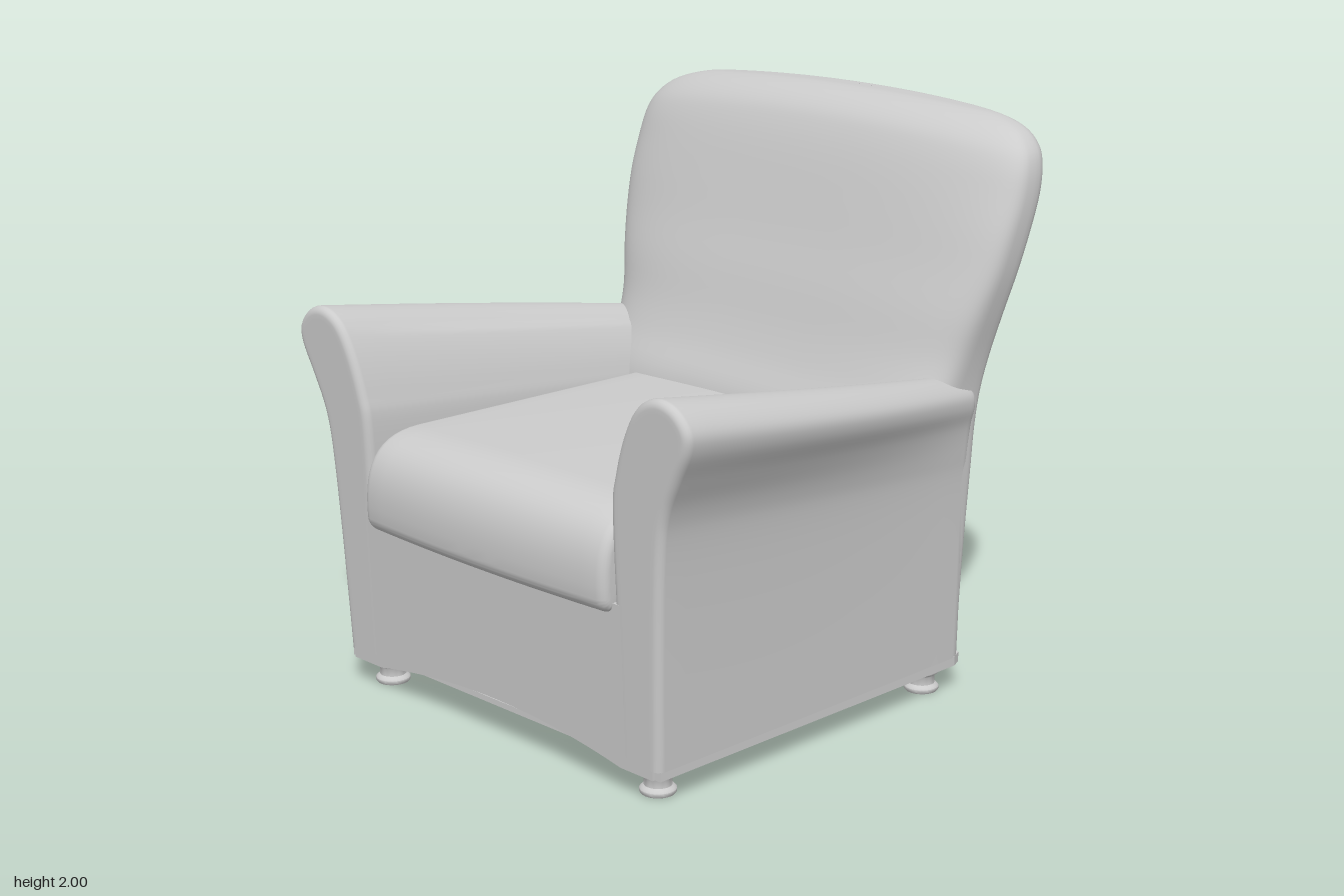
import * as THREE from 'three';
import { toCreasedNormals } from 'three/addons/utils/BufferGeometryUtils.js';

const material = new THREE.MeshStandardMaterial({ color: 0xcccccc, side: THREE.DoubleSide });
const lerp = THREE.MathUtils.lerp;

function mesh(geometry, name, parent) {
  const m = new THREE.Mesh(geometry, material);
  m.name = name;
  parent.add(m);
  return m;
}

// Skin over a list of rings, each a list of [x, y, z]
function loft(rings, closed, flip = false) {
  const n = rings[0].length, index = [];
  for (let i = 0; i < rings.length - 1; i++) {
    for (let j = 0; j < (closed ? n : n - 1); j++) {
      const k = (j + 1) % n;
      const a = i * n + j, b = i * n + k, c = a + n, d = b + n;
      if (flip) index.push(a, c, b, b, c, d);
      else index.push(a, b, c, b, d, c);
    }
  }
  const g = new THREE.BufferGeometry();
  g.setAttribute('position', new THREE.Float32BufferAttribute(rings.flat(2), 3));
  g.setIndex(index);
  g.computeVertexNormals();
  return g;
}

// Move every vertex by a rule
function warp(g, rule) {
  const p = g.attributes.position, v = new THREE.Vector3();
  for (let i = 0; i < p.count; i++) {
    rule(v.fromBufferAttribute(p, i));
    p.setXYZ(i, v.x, v.y, v.z);
  }
  return g;
}

const smooth = (points, n) => new THREE.SplineCurve(points.map(p => new THREE.Vector2(...p))).getPoints(n);
const lean = y => (y - 0.09) * 0.04;

// Arm profiles: inner foot, over the rolled top, outer foot
const armFront = smooth([[0.595, 0.12], [0.595, 0.5], [0.592, 0.93], [0.612, 1.06], [0.66, 1.2], [0.72, 1.295],
  [0.80, 1.335], [0.88, 1.32], [0.937, 1.26], [0.935, 1.19], [0.885, 1.09], [0.835, 0.98], [0.81, 0.85],
  [0.79, 0.55], [0.772, 0.12]], 70);
const armBack = smooth([[0.55, 0.12], [0.55, 0.45], [0.552, 0.82], [0.57, 0.93], [0.61, 1.02], [0.66, 1.085],
  [0.715, 1.115], [0.765, 1.108], [0.81, 1.07], [0.817, 1.02], [0.80, 0.95], [0.79, 0.85], [0.783, 0.75],
  [0.777, 0.5], [0.768, 0.12]], 70);

function armRing(t, z, inset) {
  const pts = armFront.map((f, i) => new THREE.Vector2(
    lerp(f.x, armBack[i].x, f.x < 0.7 ? t : Math.pow(t, 2.3)), lerp(f.y, armBack[i].y, t)));
  return pts.map((p, i) => {
    const d = pts[Math.min(i + 1, pts.length - 1)].clone().sub(pts[Math.max(i - 1, 0)]).normalize();
    const y = Math.max(0.12, p.y - d.x * inset);
    return [p.x + d.y * inset, y, z + lean(y) * (1 - t)];
  });
}

function buildArm(side, parent) {
  const group = new THREE.Group();
  group.name = side > 0 ? 'leftArm' : 'rightArm';
  const rings = [], zFront = 0.86, zBack = -0.6, r = 0.028, rb = 0.05;
  rings.push(armRing(0, zFront, r + 0.015));
  for (let k = 0; k <= 5; k++) {
    const a = k / 5 * Math.PI / 2;
    rings.push(armRing(0, zFront - r * (1 - Math.cos(a)), r * (1 - Math.sin(a))));
  }
  for (let k = 1; k <= 16; k++) rings.push(armRing(k / 16, lerp(zFront - r, zBack + rb, k / 16), 0));
  for (let k = 1; k <= 5; k++) {
    const a = k / 5 * Math.PI / 2;
    rings.push(armRing(1, zBack + rb * (1 - Math.sin(a)), rb * (1 - Math.cos(a))));
  }
  const sided = rings.map(ring => ring.map(([x, y, z]) => [x * side, y, z]));
  mesh(loft(sided, false, side < 0), 'armUpholstery', group);
  // Flat front panel closing the roll
  const panel = new THREE.ShapeGeometry(new THREE.Shape(sided[0].map(p => new THREE.Vector2(p[0], p[1]))));
  warp(panel, v => { v.z = zFront + lean(v.y); });
  panel.computeVertexNormals();
  mesh(panel, 'armFrontPanel', group);
  parent.add(group);
}

// Backrest levels: y, half width, front z, side z, rear z, front and rear roundness
const backLevels = [
  [0.12, 0.765, -0.3, -0.52, -0.62, 6, 5], [0.5, 0.775, -0.29, -0.53, -0.635, 6, 5],
  [0.8, 0.785, -0.275, -0.54, -0.655, 6, 5], [0.95, 0.79, -0.285, -0.55, -0.67, 5, 4.6],
  [1.08, 0.80, -0.345, -0.575, -0.69, 4.5, 4], [1.2, 0.82, -0.39, -0.6, -0.72, 4, 3.5],
  [1.35, 0.855, -0.435, -0.625, -0.765, 4, 3], [1.5, 0.885, -0.485, -0.655, -0.815, 4, 2.7],
  [1.65, 0.902, -0.53, -0.69, -0.865, 4, 2.6], [1.78, 0.907, -0.57, -0.725, -0.91, 3.6, 2.6],
  [1.87, 0.897, -0.605, -0.745, -0.937, 3.4, 2.6], [1.93, 0.867, -0.64, -0.765, -0.935, 3.2, 2.6],
  [1.975, 0.80, -0.695, -0.785, -0.905, 3, 2.6], [1.998, 0.68, -0.76, -0.805, -0.855, 3, 2.6],
  [2.0, 0.55, -0.81, -0.81, -0.81, 3, 2.6]];

function buildBackrest(parent) {
  const curves = [0, 1, 2, 3, 4, 5, 6].map(c => new THREE.SplineCurve(
    backLevels.map((l, i) => new THREE.Vector2(i, l[c]))));
  const rings = [], rows = 56, n = 96;
  for (let i = 0; i <= rows; i++) {
    const [y, w, zf, zm, zb, nf, nr] = curves.map(c => c.getPoint(i / rows).y);
    const rise = THREE.MathUtils.smoothstep(y, 1.2, 1.8);
    rings.push(Array.from({ length: n }, (_, j) => {
      const a = -j / n * Math.PI * 2, front = Math.sin(a) > 0, e = 2 / (front ? nf : nr);
      const x = w * Math.sign(Math.cos(a)) * Math.pow(Math.abs(Math.cos(a)), e);
      const s = Math.pow(Math.abs(Math.sin(a)), e);
      return [x, Math.min(y, 2) - 0.05 * rise * (x / 0.9) ** 2, zm + ((front ? zf : zb) - zm) * s];
    }));
  }
  mesh(loft(rings, true), 'backrest', parent);
}

function buildCushion(parent) {
  const shape = new THREE.Shape();
  shape.moveTo(-0.32, 0.63);
  shape.lineTo(0.86, 0.63);
  shape.quadraticCurveTo(0.888, 0.63, 0.89, 0.66);
  shape.bezierCurveTo(0.9, 0.82, 0.86, 0.905, 0.70, 0.908);
  shape.lineTo(-0.32, 0.908);
  const g = new THREE.ExtrudeGeometry(shape, {
    depth: 1.12, steps: 16, curveSegments: 14, bevelSize: 0.028, bevelThickness: 0.035, bevelSegments: 5 });
  g.translate(0, 0, -0.56);
  g.rotateY(-Math.PI / 2);
  warp(g, v => {
    const bulge = 1 - (v.x / 0.6) ** 2;
    if (v.z > 0.5) v.z += 0.022 * bulge * (v.z - 0.5) / 0.4;
    if (v.y > 0.8) v.y += 0.012 * bulge * (v.y - 0.8) / 0.13;
    v.x *= lerp(0.945, 0.995, THREE.MathUtils.clamp((v.z + 0.3) / 1.2, 0, 1));
  });
  mesh(toCreasedNormals(g, 0.7), 'seatCushion', parent);
}

function buildBase(parent) {
  // Front apron with an arched lower edge
  const apron = new THREE.Shape();
  apron.moveTo(-0.745, 0.09);
  apron.lineTo(-0.6, 0.09);
  apron.quadraticCurveTo(0, 0.21, 0.6, 0.09);
  [[0.745, 0.09], [0.745, 0.13], [0.625, 0.13], [0.625, 0.64], [-0.625, 0.64], [-0.625, 0.13], [-0.745, 0.13]]
    .forEach(p => apron.lineTo(...p));
  const g = new THREE.ExtrudeGeometry(apron, { depth: 0.04, bevelEnabled: false, curveSegments: 24 });
  g.translate(0, 0, 0.82);
  warp(g, v => { v.z += lean(v.y); });
  mesh(toCreasedNormals(g, 0.5), 'frontApron', parent);

  // Open-fronted rim under the sides and back, with the recessed bottom panel
  const outline = (w, back, front, r) => [[w, front - 0.02], [w, back + r], [w - r * 0.3, back + r * 0.3],
    [w - r, back], [-w + r, back], [-w + r * 0.3, back + r * 0.3], [-w, back + r], [-w, front - 0.02]]
    .map(p => new THREE.Vector2(p[0], -p[1]));
  const slab = (points, y, height, name) => {
    const s = new THREE.ExtrudeGeometry(new THREE.Shape(points), { depth: height, bevelEnabled: false });
    s.rotateX(-Math.PI / 2);
    s.translate(0, y, 0);
    mesh(s, name, parent);
  };
  slab([...outline(0.768, -0.62, 0.87, 0.06), ...outline(0.735, -0.587, 0.87, 0.04).reverse()], 0.09, 0.034, 'baseRim');
  slab(outline(0.76, -0.61, 0.87, 0.06), 0.12, 0.02, 'bottomPanel');
}

function buildFeet(parent) {
  const profile = [[0, 0], [0.055, 0], [0.06, 0.006], [0.06, 0.016], [0.054, 0.022], [0.046, 0.028], [0.045, 0.055],
    [0.05, 0.062], [0.06, 0.068], [0.062, 0.076], [0.058, 0.084], [0.045, 0.09], [0.045, 0.125]]
    .map(p => new THREE.Vector2(...p));
  const g = toCreasedNormals(new THREE.LatheGeometry(profile, 28), 0.8);
  for (const side of [-1, 1]) {
    mesh(g, 'frontFoot', parent).position.set(side * 0.665, 0, 0.76);
    mesh(g, 'backFoot', parent).position.set(side * 0.68, 0, -0.49);
  }
}

export function createModel() {
  const model = new THREE.Group();
  model.name = 'armchair';
  buildBackrest(model);
  buildArm(1, model);
  buildArm(-1, model);
  buildCushion(model);
  buildBase(model);
  buildFeet(model);
  return model;
}
